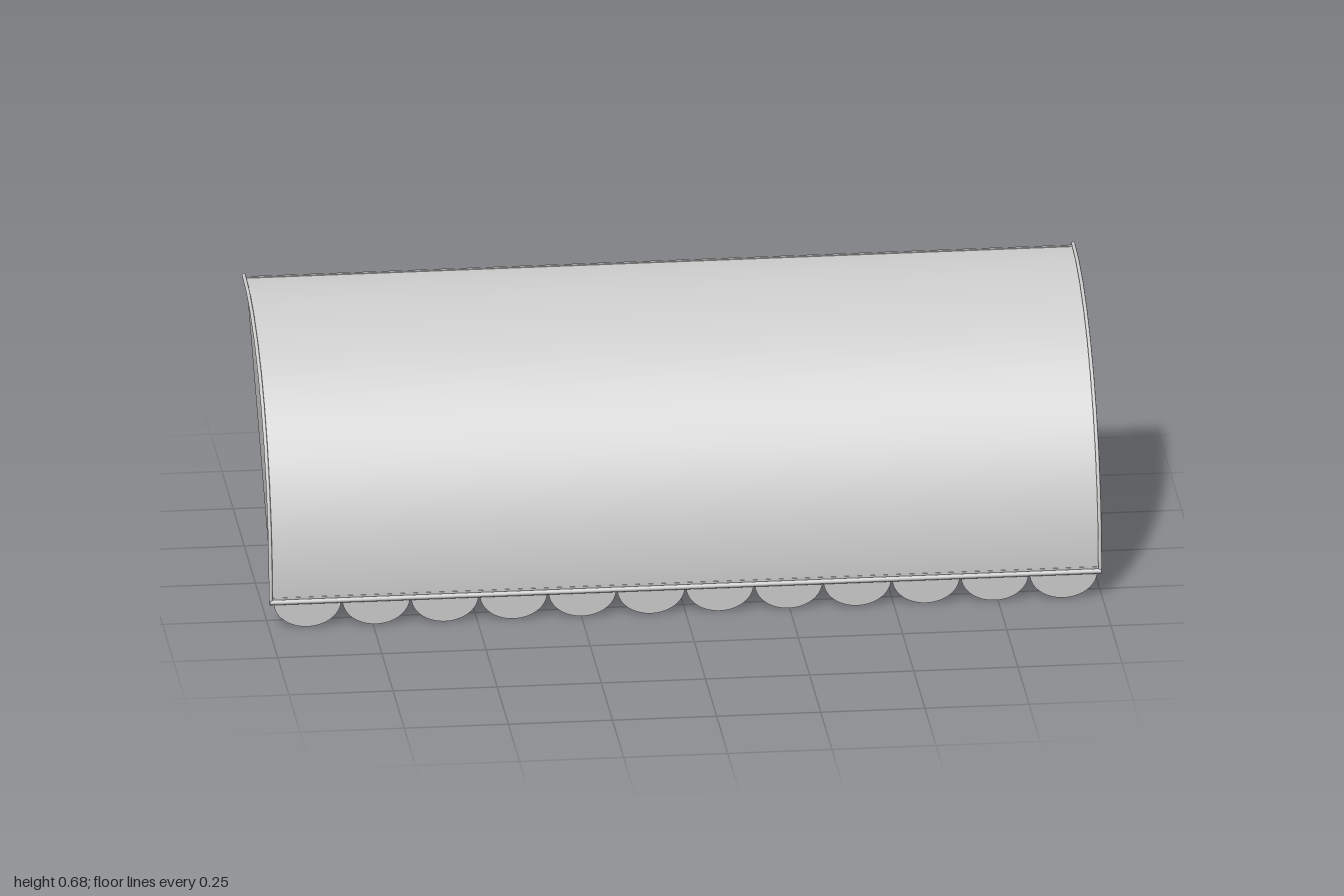
import * as THREE from 'three';

const R = 0.6;            // canopy radius
const CY = 0.066, CZ = -0.304; // arc axis, parallel to x
const HALF = 0.993;       // half width

export function createModel() {
  const group = new THREE.Group();
  const mat = new THREE.MeshStandardMaterial({ color: 0xcccccc, side: THREE.DoubleSide });
  const add = (name, geometry, x = 0, y = 0, z = 0) => {
    const mesh = new THREE.Mesh(geometry, mat);
    mesh.name = name;
    mesh.position.set(x, y, z);
    group.add(mesh);
    return mesh;
  };

  // Curved quarter-round canopy
  const canopy = new THREE.CylinderGeometry(R, R, HALF * 2, 32, 1, true, 0, Math.PI / 2);
  canopy.rotateZ(Math.PI / 2);
  add('canopy', canopy, 0, CY, CZ);

  // Side panels: arc closed by a straight chord
  const segment = new THREE.Shape();
  segment.absarc(0, 0, R - 0.002, 0, Math.PI / 2, false);
  segment.closePath();
  const panel = new THREE.ShapeGeometry(segment, 24).rotateY(-Math.PI / 2);

  // Faceted rim tube following the arc
  const rimPath = new THREE.CurvePath();
  const rimPoint = (i) => {
    const a = (i / 10) * Math.PI / 2;
    return new THREE.Vector3(0, Math.sin(a) * 0.606, Math.cos(a) * 0.606);
  };
  for (let i = 0; i < 10; i++) rimPath.add(new THREE.LineCurve3(rimPoint(i), rimPoint(i + 1)));
  const rim = new THREE.TubeGeometry(rimPath, 10, 0.0045, 8, false);

  for (const [side, s] of [['left', 1], ['right', -1]]) {
    add(side + 'SidePanel', panel, s * 0.99, CY, CZ);
    add(side + 'Rim', rim, s * 0.9955, CY, CZ);
  }

  // Bars along the width
  const frontBar = new THREE.CylinderGeometry(0.006, 0.006, 1.996, 10).rotateZ(Math.PI / 2);
  add('frontBar', frontBar, 0, 0.065, 0.303);
  const innerBar = new THREE.BoxGeometry(HALF * 2, 0.008, 0.008);
  add('lowerInnerBar', innerBar, 0, 0.07, 0.293);
  add('rearBar', innerBar, 0, 0.664, -0.301);

  // Scalloped valance of half-ellipse flaps
  const flap = new THREE.Shape();
  flap.absellipse(0, 0, 0.081, 0.064, Math.PI, Math.PI * 2, false, 0);
  flap.closePath();
  const flapGeometry = new THREE.ExtrudeGeometry(flap, { depth: 0.006, bevelEnabled: false, curveSegments: 20 });
  for (let i = 0; i < 12; i++) {
    add('scallop' + (i + 1), flapGeometry, (i - 5.5) * 0.165, 0.064, 0.295);
  }

  return group;
}
